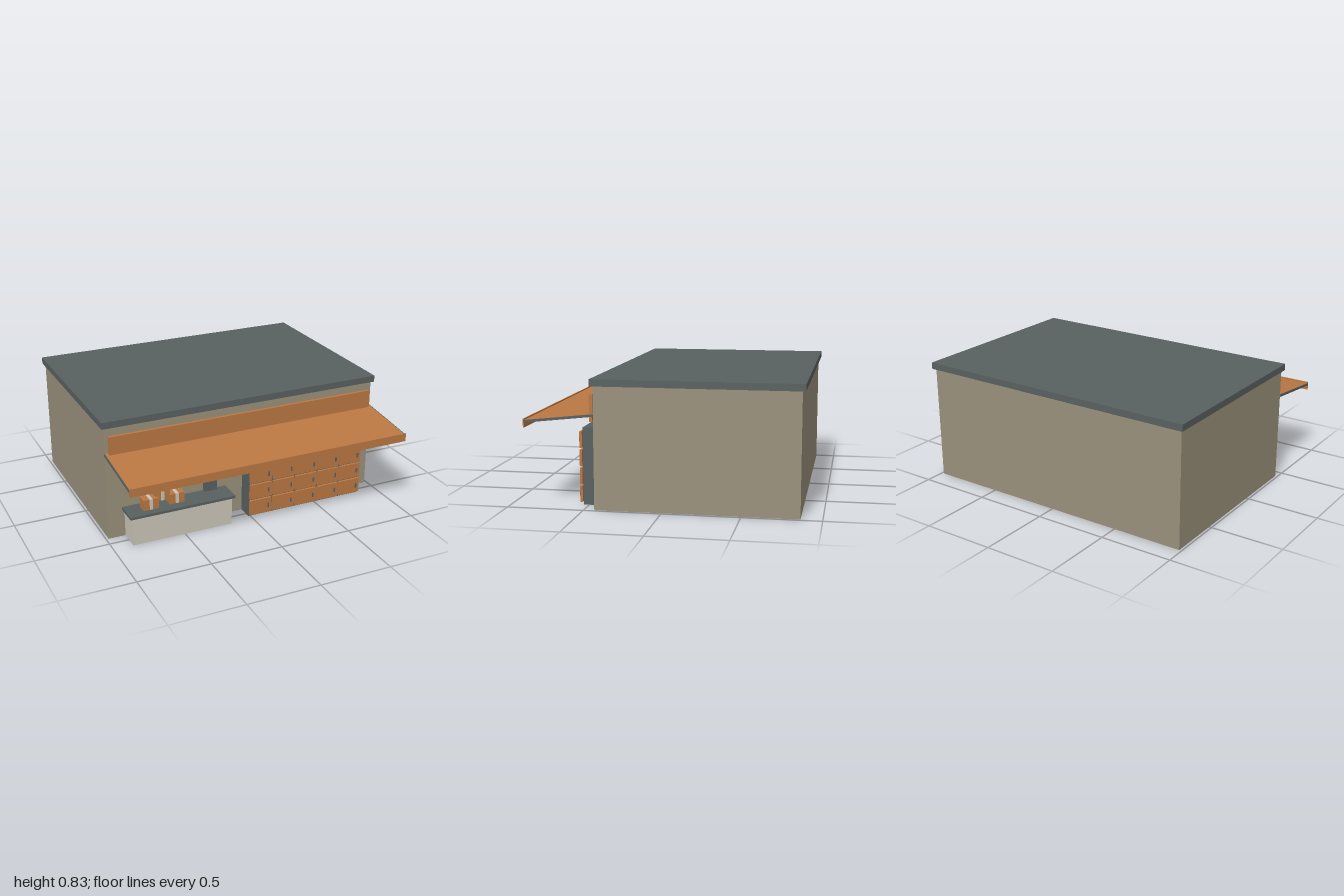
import * as THREE from 'three';

const mat = (name, color) => Object.assign(new THREE.MeshStandardMaterial({ color }), { name });

export function createModel() {
  const wall = mat('wall tan', 0x9a917c);
  const slate = mat('slate grey', 0x596160);
  const orange = mat('warm orange', 0xbb7843);
  const cream = mat('cream', 0xcbc6ba);

  const model = new THREE.Group();
  model.name = 'parcelShop';

  // Box given by its minimum and maximum on each axis
  function box(name, material, [x0, x1], [y0, y1], [z0, z1], parent = model) {
    const mesh = new THREE.Mesh(new THREE.BoxGeometry(x1 - x0, y1 - y0, z1 - z0), material);
    mesh.position.set((x0 + x1) / 2, (y0 + y1) / 2, (z0 + z1) / 2);
    mesh.name = name;
    parent.add(mesh);
    return mesh;
  }
  function group(name) {
    const g = new THREE.Group();
    g.name = name;
    model.add(g);
    return g;
  }

  // Building shell
  box('building', wall, [-0.983, 0.983], [0, 0.79], [-0.865, 0.432]);
  box('roof', slate, [-1, 1], [0.79, 0.835], [-0.886, 0.45]);
  box('signBoard', orange, [-0.96, 0.96], [0.56, 0.735], [0.442, 0.463]);

  // Sloping canopy with side arms and a front fascia
  const canopy = group('canopy');
  const back = 0.43, front = 0.884, drop = 0.05;
  const length = Math.hypot(front - back, drop);
  const slope = new THREE.Group();
  slope.name = 'canopySlope';
  slope.position.set(0, 0.581, (back + front) / 2);
  slope.rotation.x = Math.atan2(drop, front - back);
  canopy.add(slope);
  box('canopySheet', orange, [-0.98, 0.98], [-0.004, 0.0085], [-length / 2, length / 2], slope);
  for (const s of [-1, 1]) {
    const arm = box('canopyArm', slate, [-0.0055, 0.0055], [-0.008, 0.008], [-length / 2, length / 2], slope);
    arm.position.x = s * 0.9805;
  }
  box('canopyFascia', orange, [-0.985, 0.985], [0.517, 0.573], [0.879, 0.888], canopy);

  // Locker bank: five columns by four rows of doors
  const lockers = group('lockers');
  box('lockerCabinet', slate, [-0.013, 0.853], [0, 0.505], [0.43, 0.537], lockers);
  for (let col = 0; col < 5; col++) {
    for (let row = 0; row < 4; row++) {
      const x = -0.011 + col * 0.1745;
      const y = 0.016 + row * 0.1185;
      box('lockerDoor', orange, [x, x + 0.164], [y, y + 0.106], [0.543, 0.56], lockers);
      box('lockerHandle', slate, [x + 0.133, x + 0.142], [y + 0.037, y + 0.069], [0.56, 0.567], lockers);
    }
  }

  // Service counter
  const counter = group('counter');
  box('counterBase', cream, [-0.865, -0.16], [0, 0.195], [0.43, 0.582], counter);
  box('counterTop', slate, [-0.883, -0.14], [0.195, 0.213], [0.425, 0.598], counter);
  box('counterScreen', slate, [-0.32, -0.233], [0.235, 0.32], [0.47, 0.5], counter);

  // Parcels, each with a pale tape strip wrapped over front, top and back
  const parcels = [[-0.72, 0.213, 0.51], [-0.532, 0.21, 0.495], [-0.63, 0.25, 0.485]];
  for (const [x, y, z] of parcels) {
    const parcel = group('parcel');
    parcel.position.set(x, y, z);
    box('parcelBox', orange, [-0.053, 0.053], [0, 0.073], [-0.035, 0.035], parcel);
    box('parcelTape', cream, [-0.011, 0.011], [0, 0.075], [-0.037, 0.037], parcel);
  }
  return model;
}
